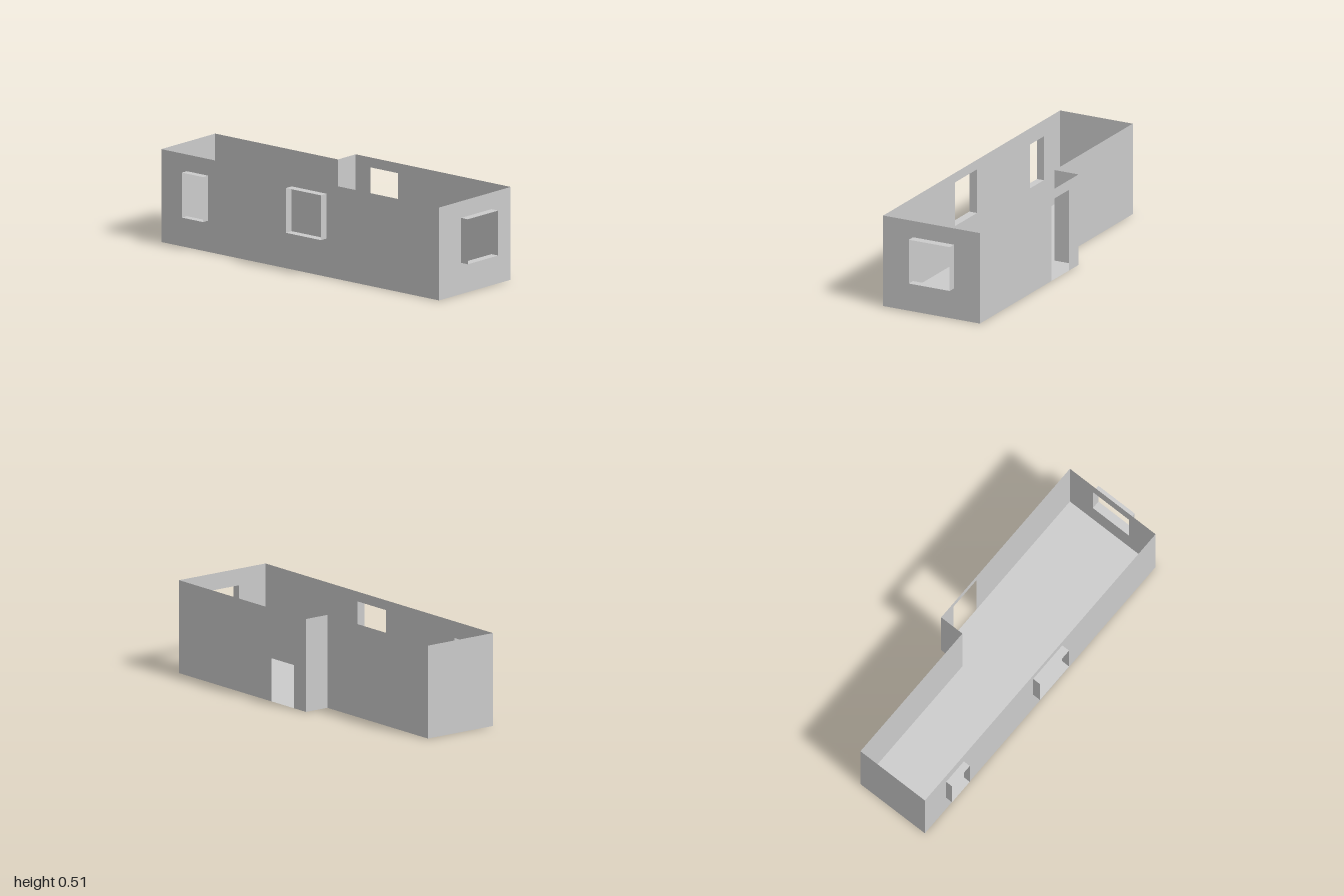
import * as THREE from 'three';

const HEIGHT = 0.512;

export function createModel() {
  const model = new THREE.Group();
  model.name = 'openRoom';
  const material = new THREE.MeshStandardMaterial({
    color: 0xcccccc, flatShading: true, side: THREE.DoubleSide,
  });

  const addMesh = (parent, name, geometry) => {
    const mesh = new THREE.Mesh(geometry, material);
    mesh.name = name;
    parent.add(mesh);
    return mesh;
  };

  const polygon = (points) => points.map(([x, y]) => new THREE.Vector2(x, y));

  // Four-sided sleeve, open at both ends, standing out from its wall
  const sleeve = ({ u0, u1, y0, y1, depth }) =>
    new THREE.CylinderGeometry(Math.SQRT1_2, Math.SQRT1_2, 1, 4, 1, true)
      .rotateY(Math.PI / 4)
      .rotateX(Math.PI / 2)
      .scale(u1 - u0, y1 - y0, depth)
      .translate((u0 + u1) / 2, (y0 + y1) / 2, depth / 2);

  // Thin wall between two plan points [x, z]; openings are measured along it
  const addWall = (name, from, to, { windows = [], door } = {}) => {
    const dx = to[0] - from[0], dz = to[1] - from[1];
    const length = Math.hypot(dx, dz);
    const outline = [[0, 0]];
    if (door) {
      outline.push([door.u0, 0], [door.u0, door.top], [door.u1, door.top], [door.u1, 0]);
    }
    outline.push([length, 0], [length, HEIGHT], [0, HEIGHT]);
    const shape = new THREE.Shape(polygon(outline));
    for (const { u0, u1, y0, y1 } of windows) {
      shape.holes.push(new THREE.Path(polygon([[u0, y0], [u0, y1], [u1, y1], [u1, y0]])));
    }
    const wall = new THREE.Group();
    wall.name = name;
    wall.position.set(from[0], 0, from[1]);
    wall.rotation.y = -Math.atan2(dz, dx);
    addMesh(wall, name + 'Panel', new THREE.ShapeGeometry(shape));
    windows.forEach((w) => addMesh(wall, 'windowFrame', sleeve(w)));
    model.add(wall);
  };

  // Plan corners, counter-clockwise seen from above
  const left = -0.272, right = 0.318, narrow = 0.172;
  const front = 0.953, step = -0.137, back = -1;
  const plan = [
    [left, front], [right, front], [right, step],
    [narrow, step], [narrow, back], [left, back],
  ];

  // Floor
  const floor = addMesh(model, 'floor',
    new THREE.ShapeGeometry(new THREE.Shape(polygon(plan.map(([x, z]) => [x, -z])))));
  floor.rotation.x = -Math.PI / 2;

  // Walls with their openings
  addWall('frontWall', plan[0], plan[1], {
    windows: [{ u0: -0.09 - left, u1: 0.16 - left, y0: 0.172, y1: 0.42, depth: 0.047 }],
  });
  addWall('doorWall', plan[1], plan[2], {
    door: { u0: front - 0.16, u1: front + 0.033, top: 0.457 },
  });
  addWall('stepWall', plan[2], plan[3]);
  addWall('narrowWall', plan[3], plan[4]);
  addWall('backWall', plan[4], plan[5]);
  addWall('windowWall', plan[5], plan[0], {
    windows: [
      { u0: -0.82 - back, u1: -0.67 - back, y0: 0.172, y1: 0.42, depth: 0.041 },
      { u0: -0.083 - back, u1: 0.163 - back, y0: 0.211, y1: 0.458, depth: 0.047 },
    ],
  });

  return model;
}
